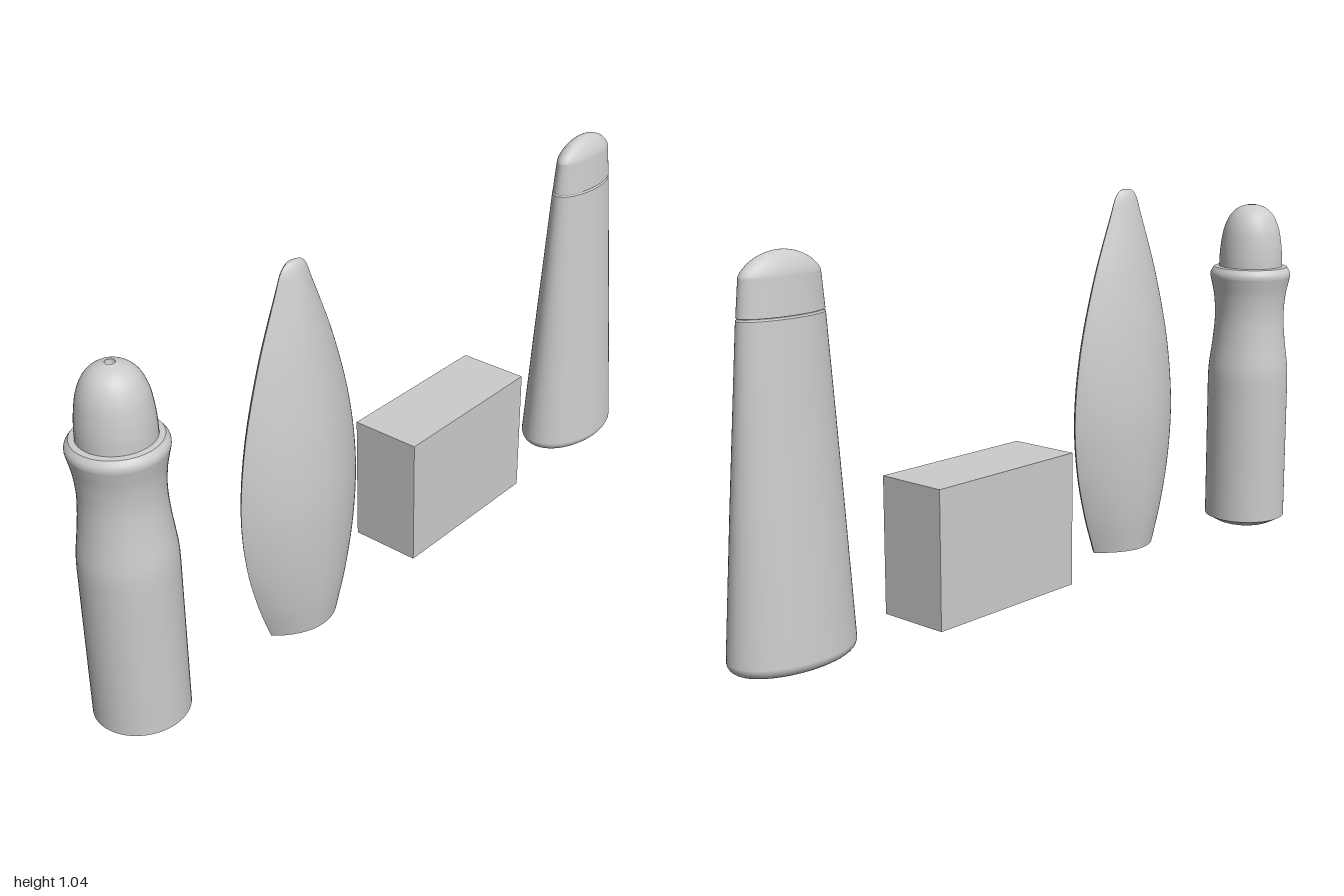
import * as THREE from 'three';

const material = new THREE.MeshStandardMaterial({ color: 0xcccccc, side: THREE.DoubleSide });

function addMesh(parent, name, geometry) {
  const mesh = new THREE.Mesh(geometry, material);
  mesh.name = name;
  parent.add(mesh);
  return mesh;
}

function addGroup(parent, name, x, z) {
  const group = new THREE.Group();
  group.name = name;
  group.position.set(x, 0, z);
  parent.add(group);
  return group;
}

// Smooth curve through [a, b] pairs
const smooth = (pairs, n) =>
  new THREE.SplineCurve(pairs.map(([a, b]) => new THREE.Vector2(a, b))).getPoints(n);
const lathe = (points) => new THREE.LatheGeometry(points, 64);
const points = (pairs) => pairs.map(([r, y]) => new THREE.Vector2(r, y));

// Skin over rings [halfWidth, halfDepth, y]; section(u) gives a unit [x, z] for u in 0..1
function loft(rings, section, closed, n = 64) {
  const position = [], index = [];
  const row = closed ? n : n + 1;
  rings.forEach(([w, d, y]) => {
    for (let j = 0; j < row; j++) {
      const [x, z] = section(j / n);
      position.push(x * w, y, z * d);
    }
  });
  for (let i = 0; i < rings.length - 1; i++) {
    for (let j = 0; j < n; j++) {
      const a = i * row + j, b = i * row + ((j + 1) % row);
      index.push(a, a + row, b, b, a + row, b + row);
    }
  }
  const geometry = new THREE.BufferGeometry();
  geometry.setAttribute('position', new THREE.Float32BufferAttribute(position, 3));
  geometry.setIndex(index);
  geometry.computeVertexNormals();
  return geometry;
}

const oval = (u) => [Math.cos(u * 2 * Math.PI), Math.sin(u * 2 * Math.PI)];
// Half a pointed lens: sharp at both ends, fullest in the middle
const halfLens = (u) => [Math.cos(u * Math.PI), Math.sin(u * Math.PI) ** 1.8];

// Round bottle with a waist, collar and domed cap
function buildRoundBottle(parent) {
  const bottle = addGroup(parent, 'roundBottle', -0.882, -0.031);
  addMesh(bottle, 'bottleBase', lathe(smooth(
    [[0, 0], [0.04, 0.003], [0.08, 0.012], [0.117, 0.032]], 16)));
  addMesh(bottle, 'bottleBody', lathe([
    new THREE.Vector2(0.118, 0.032),
    ...smooth([[0.118, 0.44], [0.116, 0.49], [0.106, 0.57], [0.101, 0.64], [0.105, 0.7],
      [0.114, 0.745], [0.117, 0.76], [0.115, 0.772], [0.106, 0.785]], 48),
  ]));
  addMesh(bottle, 'bottleShoulder', lathe(points([[0.106, 0.785], [0.09, 0.787]])));
  addMesh(bottle, 'bottleCap', lathe(smooth(
    [[0.092, 0.785], [0.091, 0.82], [0.087, 0.86], [0.079, 0.9], [0.063, 0.935],
      [0.04, 0.957], [0.012, 0.967]], 40)));
  addMesh(bottle, 'capHole', lathe(points([[0, 0.945], [0.012, 0.945], [0.012, 0.967]])));
}

// Hollow leaf-shaped shell, open at the bottom, from two mirrored halves
function buildLeafShell(parent) {
  const shell = addGroup(parent, 'leafShell', -0.377, 0.036);
  const outline = new THREE.CatmullRomCurve3([
    [0.124, 0.07, 0.035], [0.162, 0.085, 0.14], [0.195, 0.095, 0.27], [0.208, 0.098, 0.42],
    [0.188, 0.087, 0.6], [0.132, 0.061, 0.8], [0.064, 0.03, 0.97], [0.043, 0.018, 1.02],
    [0.026, 0.01, 1.036], [0, 0, 1.04],
  ].map((p) => new THREE.Vector3(...p)));
  const rings = outline.getPoints(72).map((p) => [Math.max(p.x, 0), Math.max(p.y, 0), p.z]);
  addMesh(shell, 'shellFront', loft(rings, halfLens, false, 40));
  addMesh(shell, 'shellBack', loft(rings, halfLens, false, 40)).rotation.y = Math.PI;
}

// Plain block
function buildBlock(parent) {
  const block = addMesh(parent, 'block', new THREE.BoxGeometry(0.483, 0.357, 0.197));
  block.position.set(0.231, 0.211, 0.007);
}

// Tapered oval bottle with a seam line and domed lid
function buildOvalBottle(parent) {
  const bottle = addGroup(parent, 'ovalBottle', 0.828, 0.036);
  const body = [];
  // Rounded lower corner
  for (let i = 0; i <= 8; i++) {
    const t = (i / 8) * Math.PI / 2, inset = 0.027 * (1 - Math.sin(t));
    body.push([0.172 - inset, 0.11 - inset, 0.062 - 0.027 * Math.cos(t)]);
  }
  body.push([0.151, 0.086, 0.4], [0.121, 0.052, 0.838]);
  addMesh(bottle, 'bottleBody', loft(body, oval, true));
  addMesh(bottle, 'bottleBase', loft([[0, 0, 0.035], [0.145, 0.083, 0.035]], oval, true));
  addMesh(bottle, 'lidSeam', loft(
    [[0.121, 0.052, 0.838], [0.117, 0.048, 0.839], [0.117, 0.048, 0.843], [0.12, 0.051, 0.844]],
    oval, true));
  addMesh(bottle, 'lidSide', loft([[0.12, 0.051, 0.844], [0.112, 0.043, 0.93]], oval, true));
  const dome = [];
  for (let i = 0; i <= 20; i++) {
    const r = Math.cos((i / 20) * Math.PI / 2);
    dome.push([0.112 * r, 0.043 * r, 0.93 + 0.055 * (1 - r * r) ** 0.7]);
  }
  addMesh(bottle, 'lidDome', loft(dome, oval, true));
}

export function createModel() {
  const model = new THREE.Group();
  model.name = 'containerSet';
  buildRoundBottle(model);
  buildLeafShell(model);
  buildBlock(model);
  buildOvalBottle(model);
  return model;
}
